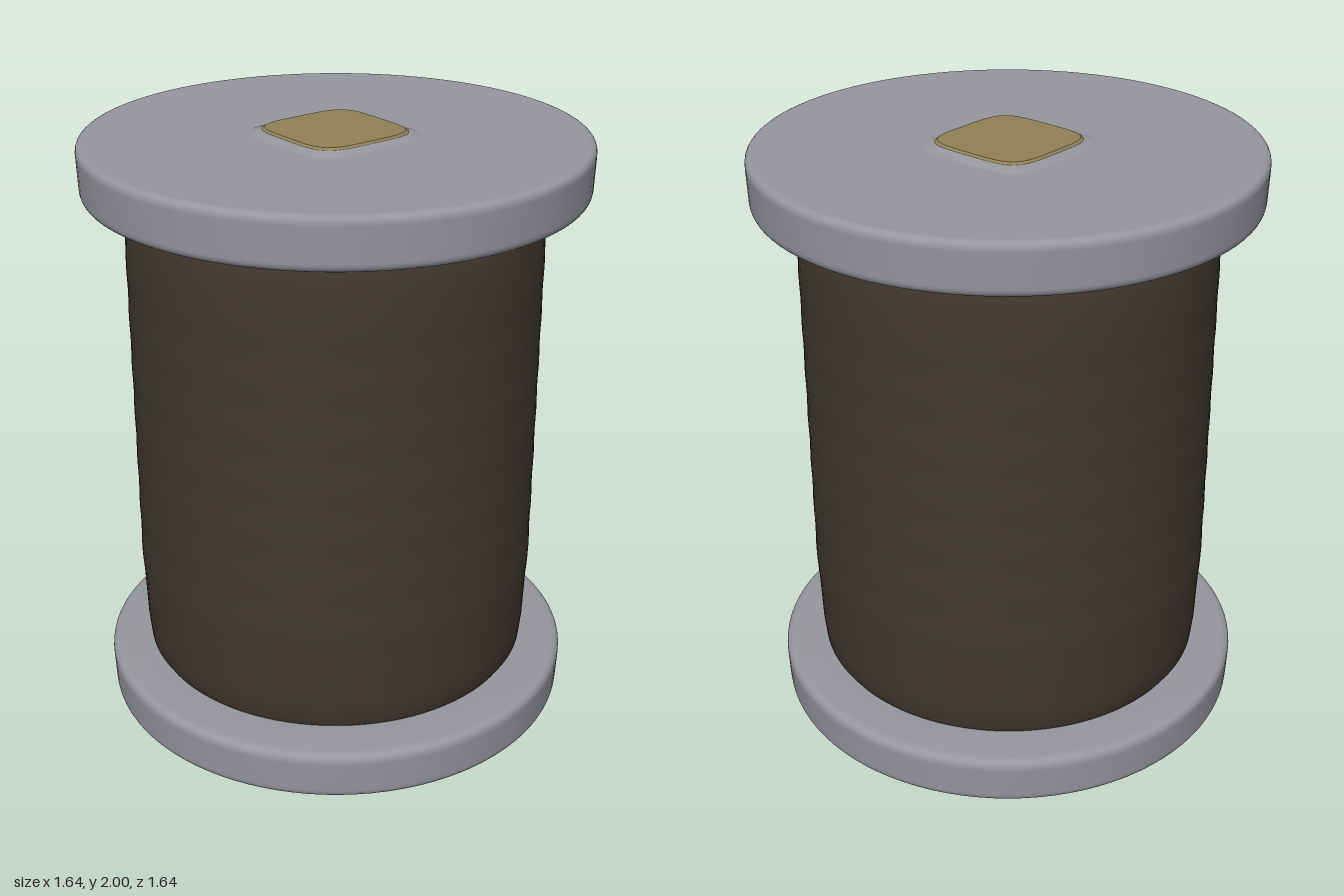
import * as THREE from 'three';

const SEGMENTS = 96;

// Smooth solid of revolution with rounded corners: corners are [radius, y, rounding], bottom to top
function turned(corners, material, name) {
  const path = new THREE.Path();
  const v = corners.map(([r, y]) => new THREE.Vector2(r, y));
  path.moveTo(v[0].x, v[0].y);
  for (let i = 1; i < v.length - 1; i++) {
    const round = corners[i][2];
    const a = v[i - 1].clone().sub(v[i]).setLength(round).add(v[i]);
    const b = v[i + 1].clone().sub(v[i]).setLength(round).add(v[i]);
    path.lineTo(a.x, a.y);
    path.quadraticCurveTo(v[i].x, v[i].y, b.x, b.y);
  }
  path.lineTo(v.at(-1).x, v.at(-1).y);
  const mesh = new THREE.Mesh(new THREE.LatheGeometry(path.getPoints(8), SEGMENTS), material);
  mesh.name = name;
  return mesh;
}

// Soft-cornered square frustum, made by squaring the rings of a cylinder
function softSquare(top, bottom, height, material, name) {
  const geometry = new THREE.CylinderGeometry(top, bottom, height, 64, 1);
  const p = geometry.attributes.position;
  for (let i = 0; i < p.count; i++) {
    const x = p.getX(i), z = p.getZ(i), r = Math.hypot(x, z);
    if (r < 1e-6) continue;
    const k = Math.pow(Math.abs(x / r) ** 4.5 + Math.abs(z / r) ** 4.5, -1 / 4.5);
    p.setX(i, x * k);
    p.setZ(i, z * k);
  }
  geometry.computeVertexNormals();
  const mesh = new THREE.Mesh(geometry, material);
  mesh.name = name;
  return mesh;
}

export function createModel() {
  const grey = new THREE.MeshStandardMaterial({ name: 'grey flange', color: 0x96979d });
  const brown = new THREE.MeshStandardMaterial({ name: 'dark brown thread', color: 0x403930 });
  const tan = new THREE.MeshStandardMaterial({ name: 'tan core', color: 0x908258 });

  const spool = new THREE.Group();
  spool.name = 'threadSpool';

  // End flanges
  spool.add(turned([
    [0, 0.005], [0.795, 0.005, 0.03], [0.803, 0.172, 0.035], [0.69, 0.178, 0.02], [0, 0.186],
  ], grey, 'bottomFlange'));
  spool.add(turned([
    [0, 1.803], [0.69, 1.808, 0.02], [0.813, 1.813, 0.03], [0.819, 1.982, 0.03], [0, 1.981],
  ], grey, 'topFlange'));

  // Wound thread, slightly barrelled at the ends, with faint winding ripples
  const profile = [[0.64, 0.17], [0.66, 0.2], [0.668, 0.28], [0.674, 0.45]];
  for (let y = 0.5; y < 1.7; y += 0.04) {
    profile.push([0.678 + 0.001 * Math.sin(y * 37), y]);
  }
  profile.push([0.674, 1.73], [0.667, 1.775], [0.652, 1.797], [0.63, 1.815]);
  const thread = new THREE.Mesh(
    new THREE.LatheGeometry(profile.map(([r, y]) => new THREE.Vector2(r, y)), SEGMENTS), brown);
  thread.name = 'woundThread';
  thread.position.x = -0.004;
  spool.add(thread);

  // Square core end, with the grey surface swelling up around it
  const collar = softSquare(0.195, 0.235, 0.014, grey, 'coreCollar');
  collar.position.set(-0.005, 1.986, 0);
  const core = softSquare(0.185, 0.194, 0.008, tan, 'coreEnd');
  core.position.set(-0.005, 1.996, 0);
  spool.add(collar, core);

  return spool;
}
